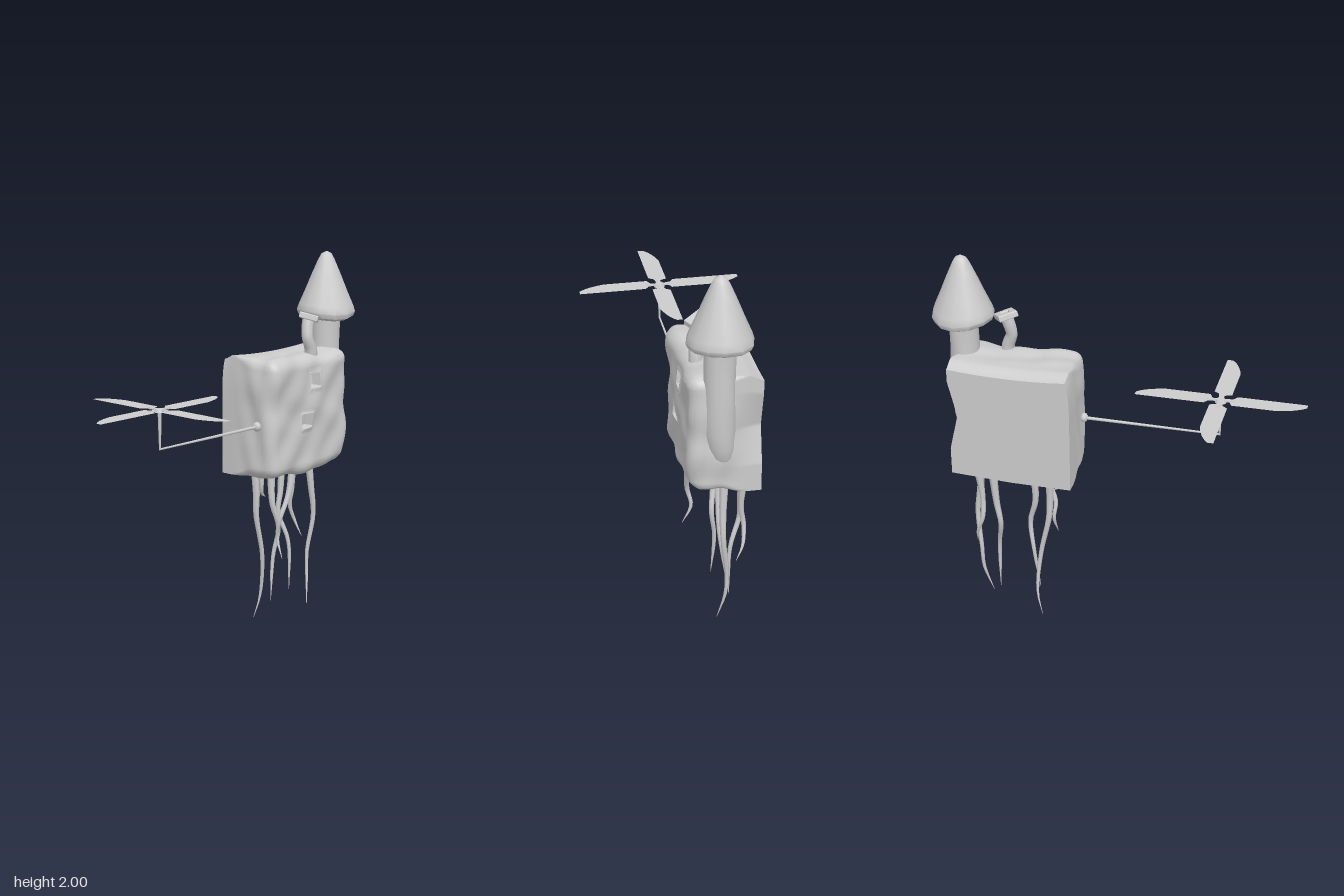
import * as THREE from 'three';
import { mergeVertices, toCreasedNormals } from 'three/addons/utils/BufferGeometryUtils.js';

const material = new THREE.MeshStandardMaterial({ color: 0xcccccc });
const thinMaterial = new THREE.MeshStandardMaterial({ color: 0xcccccc, side: THREE.DoubleSide });
const V = (x, y, z) => new THREE.Vector3(x, y, z);
const smooth = THREE.MathUtils.smoothstep;

function add(parent, name, geometry, mat = material) {
  const mesh = new THREE.Mesh(geometry, mat);
  mesh.name = name;
  parent.add(mesh);
  return mesh;
}

// Moves every vertex by a rule, then welds and recomputes normals
function reshape(geometry, rule, crease) {
  geometry.deleteAttribute('uv');
  geometry.deleteAttribute('normal');
  const g = mergeVertices(geometry, 1e-5);
  const pos = g.attributes.position, p = V(0, 0, 0);
  for (let i = 0; i < pos.count; i++) {
    rule(p.fromBufferAttribute(pos, i));
    pos.setXYZ(i, p.x, p.y, p.z);
  }
  g.computeVertexNormals();
  return crease ? toCreasedNormals(g, crease) : g;
}

// Soft lumps for hand-plastered walls
const lump = (a, b, s) =>
  0.5 * Math.sin(a * 15 + s + 1.3 * Math.sin(b * 11)) * Math.cos(b * 17 - s) + 0.35 * Math.sin(a * 31 - b * 23 + s * 2);

// Tapered tube through points, with one radius per point
function taperedTube(points, radii, sides = 6, steps = 24) {
  const curve = new THREE.CatmullRomCurve3(points, false, 'centripetal');
  const g = new THREE.TubeGeometry(curve, steps, 1, sides, false);
  const pos = g.attributes.position, p = V(0, 0, 0);
  for (let i = 0; i <= steps; i++) {
    const c = curve.getPointAt(i / steps);
    const k = (i / steps) * (radii.length - 1), j = Math.min(Math.floor(k), radii.length - 2);
    const r = THREE.MathUtils.lerp(radii[j], radii[j + 1], k - j);
    for (let s = 0; s <= sides; s++) {
      const n = i * (sides + 1) + s;
      p.fromBufferAttribute(pos, n).sub(c).multiplyScalar(r).add(c);
      pos.setXYZ(n, p.x, p.y, p.z);
    }
  }
  return g;
}

// House block: rounded lumpy front, plain sharp back, two sunken windows
const WINDOWS = [[0.54, 1.345, 0.036], [0.472, 1.135, 0.036]];
function houseGeometry() {
  const C = V(0.507, 1.17, -0.08), H = V(0.316, 0.322, 0.175);
  return reshape(new THREE.BoxGeometry(H.x * 2, H.y * 2, H.z * 2, 72, 72, 28), (p) => {
    const u = p.x / H.x, v = p.y / H.y;
    const onFront = p.z > H.z - 1e-4;
    const soft = smooth(p.z, -0.12, 0.06);
    // Rounding that fades away toward the back
    const r = 0.065 * soft + 1e-4;
    const q = V(
      THREE.MathUtils.clamp(p.x, r - H.x, H.x - r),
      THREE.MathUtils.clamp(p.y, r - H.y, H.y - r),
      Math.min(p.z, H.z - r));
    const n = p.clone().sub(q);
    if (n.lengthSq() > 1e-12) {
      n.normalize();
      p.copy(q).addScaledVector(n, r);
      const l = lump(p.x, p.y, 1) + 0.4 * Math.sin(p.z * 40 + p.x * 9 + p.y * 13);
      p.addScaledVector(n, 0.011 * soft * l);
    }
    // Uneven back half: pinched side, sloped top corners
    const back = 1 - smooth(p.z, -0.18, 0.02);
    const pinch = Math.max(0, 1 - Math.abs(v - 0.1) * 1.6);
    p.x -= back * 0.045 * pinch * Math.max(0, u) ** 3;
    p.x += back * 0.02 * Math.max(0, v) ** 4 * Math.max(0, -u) ** 3;
    p.y -= 0.03 * Math.max(0, v) ** 3 * (1 - smooth(p.z, -0.18, -0.1));
    p.y -= 0.015 * Math.max(0, v) * (1 - u * u);
    p.y += 0.015 * Math.max(0, -v) * Math.max(0, u);
    p.add(C);
    if (onFront) for (const [x, y, s] of WINDOWS) {
      const d = Math.max(Math.abs(p.x - x), Math.abs(p.y - y));
      if (d < s) p.z -= 0.045;
      else if (d < s + 0.014) p.z += 0.005;
    }
  }, 0.65);
}

// One propeller blade lying flat along +x
function bladeGeometry() {
  const s = new THREE.Shape();
  s.moveTo(0.02, -0.012);
  s.lineTo(0.06, -0.02);
  s.lineTo(0.08, -0.047);
  s.lineTo(0.43, -0.047);
  s.lineTo(0.43, -0.018);
  s.quadraticCurveTo(0.39, 0.025, 0.29, 0.047);
  s.lineTo(0.06, 0.047);
  s.lineTo(0.045, 0.012);
  s.lineTo(0.02, 0.012);
  return new THREE.ShapeGeometry(s, 6).rotateX(Math.PI / 2);
}

export function createModel() {
  const model = new THREE.Group();
  model.name = 'flyingHouse';

  add(model, 'house', houseGeometry());

  // Round tower leaning into the side wall at its foot
  const towerProfile = [[0.001, 0.98], [0.04, 1.01], [0.06, 1.06], [0.07, 1.12], [0.077, 1.2],
    [0.077, 1.3], [0.076, 1.4], [0.075, 1.5], [0.074, 1.6], [0.076, 1.68]].map(([r, y]) => new THREE.Vector2(r, y));
  add(model, 'tower', reshape(new THREE.LatheGeometry(towerProfile, 20), (p) => {
    const low = 1 - smooth(p.y, 0.98, 1.25);
    const swell = 1 + 0.06 * lump(p.x * 2, p.y, 2);
    p.x = p.x * swell + 0.79 - 0.012 * low;
    p.z = p.z * swell - 0.05 - 0.02 * low;
  }));

  // Pointed tower roof with an overhanging lip
  const roofProfile = [[0.001, 1.645], [0.07, 1.64], [0.125, 1.642], [0.15, 1.655], [0.16, 1.68],
    [0.148, 1.715], [0.115, 1.79], [0.08, 1.875], [0.045, 1.955], [0.028, 1.985], [0.001, 2.0]]
    .map(([r, y]) => new THREE.Vector2(r, y));
  add(model, 'towerRoof', reshape(new THREE.LatheGeometry(roofProfile, 12), (p) => {
    const a = Math.atan2(p.z, p.x), r = Math.hypot(p.x, p.z);
    p.y += r * 0.06 * Math.sin(a * 2 + 1);
    p.x += 0.79;
    p.z -= 0.05;
  }, 0.7));

  // Crooked chimney with a tilted square rim
  const chimney = new THREE.Group();
  chimney.name = 'chimney';
  model.add(chimney);
  add(chimney, 'chimneyPipe', taperedTube(
    [V(0.59, 1.43, 0.02), V(0.582, 1.5, 0.022), V(0.562, 1.56, 0.018), V(0.568, 1.61, 0.01), V(0.585, 1.665, 0.005)],
    [0.036, 0.034, 0.03, 0.032, 0.034], 8));
  const rim = new THREE.Shape([[-1, -1], [1, -1], [1, 1], [-1, 1]].map(([x, y]) => new THREE.Vector2(x * 0.045, y * 0.045)));
  rim.holes.push(new THREE.Path([[-1, -1], [-1, 1], [1, 1], [1, -1]].map(([x, y]) => new THREE.Vector2(x * 0.024, y * 0.024))));
  const rimGeometry = new THREE.ExtrudeGeometry(rim, {
    depth: 0.022, bevelEnabled: true, bevelSize: 0.005, bevelThickness: 0.005, bevelSegments: 2 });
  rimGeometry.rotateX(-Math.PI / 2).rotateY(0.6).rotateZ(-0.3).rotateX(0.1).translate(0.582, 1.659, 0.005);
  add(chimney, 'chimneyRim', rimGeometry);

  // Boom from the left-hand wall out to the upright shaft
  const boom = add(model, 'boom', new THREE.CylinderGeometry(0.005, 0.009, 0.71, 8));
  boom.rotation.z = Math.PI / 2;
  boom.position.set(-0.17, 1.136, 0);
  const knob = add(model, 'boomSocket', new THREE.SphereGeometry(0.025, 12, 8));
  knob.position.set(0.183, 1.137, 0);
  knob.scale.x = 0.8;
  const elbow = add(model, 'boomElbow', new THREE.SphereGeometry(0.006, 8, 6));
  elbow.position.set(-0.523, 1.136, 0);
  const shaft = add(model, 'propellerShaft', new THREE.CylinderGeometry(0.01, 0.005, 0.19, 8));
  shaft.position.set(-0.523, 1.231, 0);

  // Four-bladed propeller
  const propeller = new THREE.Group();
  propeller.name = 'propeller';
  propeller.position.set(-0.523, 1.335, 0);
  model.add(propeller);
  add(propeller, 'propellerHub', new THREE.CylinderGeometry(0.022, 0.03, 0.016, 12)).position.y = -0.004;
  for (let i = 0; i < 4; i++) {
    const blade = add(propeller, 'propellerBlade', bladeGeometry(), thinMaterial);
    blade.rotation.y = (i * Math.PI) / 2;
    const arm = add(propeller, 'bladeArm', new THREE.BoxGeometry(0.06, 0.008, 0.016));
    arm.rotation.y = blade.rotation.y;
    arm.position.set(Math.cos(arm.rotation.y) * 0.04, -0.002, -Math.sin(arm.rotation.y) * 0.04);
  }

  // Dangling roots, thick at the house and thin at the tip
  const roots = [
    [[0.33, 0.9, -0.15], [0.335, 0.72, -0.14], [0.34, 0.6, -0.145], [0.39, 0.36, -0.145], [0.405, 0.12, -0.175], [0.375, 0, -0.195]],
    [[0.45, 0.9, 0.02], [0.41, 0.74, 0.025], [0.35, 0.6, 0.015], [0.355, 0.5, -0.005], [0.345, 0.39, 0.04]],
    [[0.43, 0.9, -0.12], [0.425, 0.66, -0.105], [0.46, 0.52, -0.09], [0.44, 0.36, -0.11], [0.41, 0.11, -0.1]],
    [[0.62, 0.9, -0.21], [0.605, 0.68, -0.205], [0.587, 0.56, -0.205], [0.615, 0.4, -0.155], [0.62, 0.115, -0.15]],
    [[0.705, 0.9, -0.2], [0.685, 0.68, -0.19], [0.685, 0.58, -0.205], [0.72, 0.48, -0.195], [0.735, 0.4, -0.16]],
    [[0.71, 0.9, -0.1], [0.73, 0.7, -0.09], [0.752, 0.54, -0.09], [0.73, 0.32, -0.115], [0.725, 0.2, -0.11], [0.685, 0.025, -0.075]],
    [[0.285, 0.9, -0.06], [0.288, 0.78, -0.06], [0.305, 0.74, -0.07], [0.335, 0.72, -0.075]],
  ];
  for (const path of roots) {
    add(model, 'root', taperedTube(path.map((c) => V(...c)), [0.024, 0.019, 0.014, 0.012, 0.009, 0.001], 6, 20));
  }
  return model;
}
